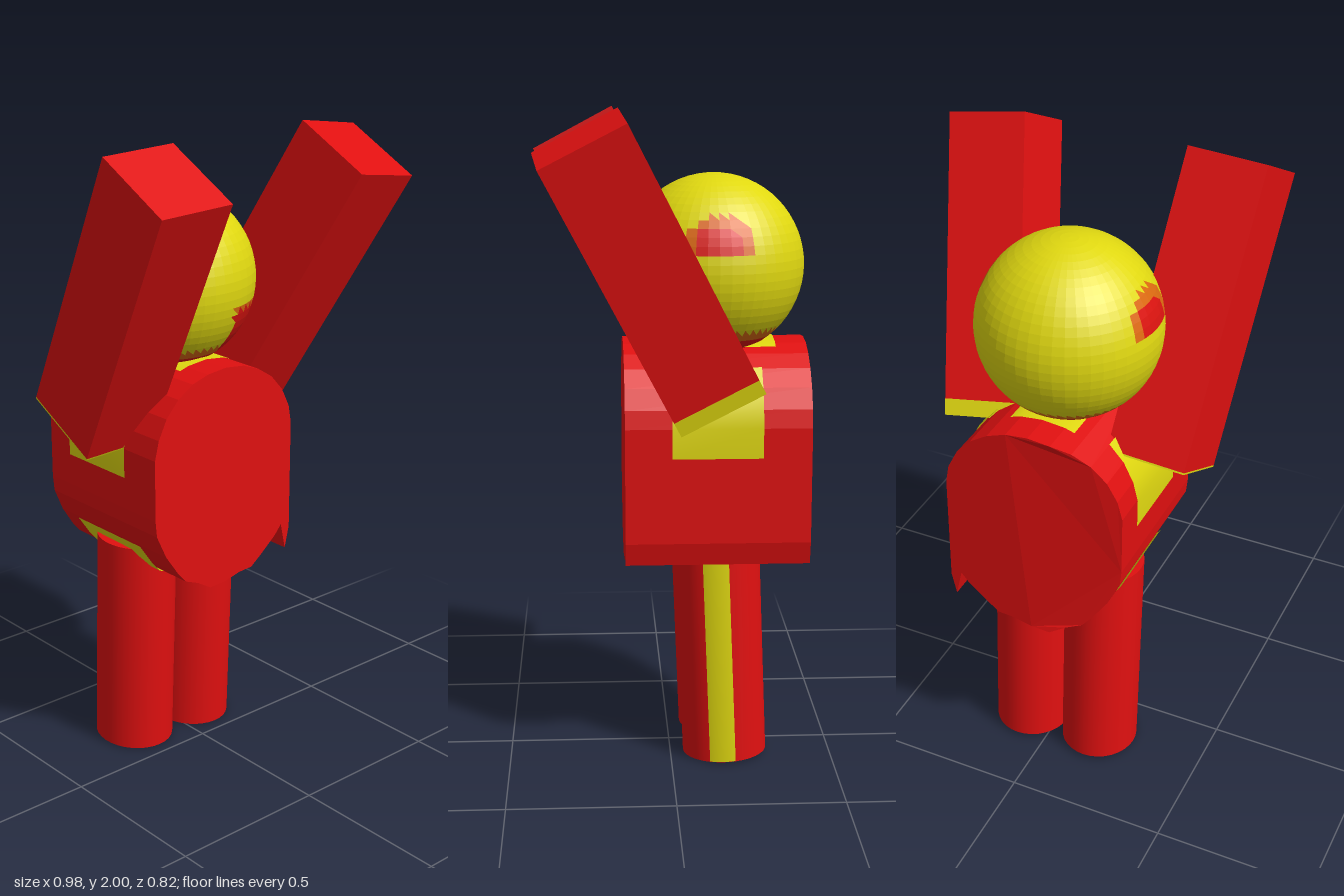
import * as THREE from 'three';

const mat = (name, color, extra = {}) => {
  const m = new THREE.MeshStandardMaterial({ color, ...extra });
  m.name = name;
  return m;
};

export function createModel() {
  const red = mat('red', 0xe01010);
  const yellow = mat('yellow', 0xe0d810, { side: THREE.DoubleSide });
  const headYellow = mat('head yellow', 0xe0d810, { flatShading: true });
  const headRed = mat('head red', 0xdc1410, { flatShading: true });
  const headOrange = mat('head orange', 0xdc6a10, { flatShading: true });

  const model = new THREE.Group();
  const add = (name, geometry, material, parent = model) => {
    const mesh = new THREE.Mesh(geometry, material);
    mesh.name = name;
    parent.add(mesh);
    return mesh;
  };

  // Torso: uneven rounded outline with a small fin at the lower left, extruded in depth
  const outline = [
    [-0.03, 1.3], [0.04, 1.292], [0.1, 1.27], [0.155, 1.235], [0.2, 1.185], [0.23, 1.125], [0.24, 1.07],
    [0.24, 0.72], [0.224, 0.65], [0.205, 0.735], [0.18, 0.705], [0.12, 0.655], [0.08, 0.625], [0.03, 0.622],
    [-0.03, 0.608], [-0.09, 0.605], [-0.14, 0.635], [-0.19, 0.655], [-0.22, 0.69], [-0.265, 0.755], [-0.3, 0.83],
    [-0.305, 0.88], [-0.305, 1.07], [-0.29, 1.13], [-0.26, 1.19], [-0.215, 1.24], [-0.16, 1.275], [-0.1, 1.293],
  ];
  const torso = new THREE.ExtrudeGeometry(
    new THREE.Shape(outline.map(([x, y]) => new THREE.Vector2(x, y))),
    { depth: 0.555, bevelEnabled: false });
  torso.translate(0, 0, -0.415);
  const tp = torso.attributes.position;
  for (let i = 0; i < tp.count; i++) {
    // The back slopes forward towards the right side
    if (tp.getZ(i) < 0) tp.setZ(i, -0.415 + 0.045 * THREE.MathUtils.clamp((-0.1 - tp.getX(i)) / 0.2, 0, 1));
  }
  torso.computeVertexNormals();
  add('torso', torso, red);

  // Yellow patches lying just off the torso surface, following its outline
  const patch = (name, points, z0, z1) => {
    const g = new THREE.PlaneGeometry(1, 1, points.length - 1, 1);
    const p = g.attributes.position;
    points.forEach(([x, y], i) => {
      const X = -0.03 + (x + 0.03) * 1.014, Y = 0.95 + (y - 0.95) * 1.014;
      p.setXYZ(i, X, Y, z0);
      p.setXYZ(i + points.length, X, Y, z1);
    });
    g.computeVertexNormals();
    add(name, g, yellow);
  };
  patch('leftShoulderPatch', [[0.24, 0.98], ...outline.slice(3, 7).reverse()], -0.27, 0);
  patch('rightShoulderPatch', [[-0.305, 0.98], ...outline.slice(22, 26)], -0.27, 0);
  patch('neckPatch', [[-0.13, 1.284], [-0.1, 1.293], [-0.03, 1.3], [0.04, 1.292], [0.07, 1.281]], -0.32, 0.05);
  patch('rightHipPatch', outline.slice(14, 20), -0.29, 0.02);
  patch('leftHipPatch', outline.slice(10, 15), -0.27, 0);

  // Head: faceted ball whose faces are sorted into yellow, red and orange
  const headColor = (x, y, z) => {
    const ear = Math.hypot(z, y - 0.055);
    if (Math.abs(x) > 0.15 && y > 0.05) {
      if (ear < 0.08) return 1;
      if (ear < 0.112) return 2;
    }
    if (z > 0 && x > 0.055 && x < 0.23) {
      if (y < -0.07) return 1;
      if (y < -0.055) return 2;
    }
    return y < -0.21 ? 1 : y < -0.185 ? 2 : 0;
  };
  const head = new THREE.SphereGeometry(0.275, 48, 32);
  const hp = head.attributes.position;
  const faces = [[], [], []];
  for (let i = 0; i < head.index.count; i += 3) {
    const ids = [0, 1, 2].map(k => head.index.getX(i + k));
    const mid = ['getX', 'getY', 'getZ'].map(f => ids.reduce((s, id) => s + hp[f](id), 0) / 3);
    faces[headColor(...mid)].push(...ids);
  }
  head.setIndex(faces.flat());
  let start = 0;
  faces.forEach((f, i) => {
    head.addGroup(start, f.length, i);
    start += f.length;
  });
  add('head', head, [headYellow, headRed, headOrange]).position.set(-0.031, 1.525, -0.137);

  // Arms: boxes spanned by width, length and depth vectors from a lower back corner
  const arm = (name, corner, w, l, d, band) => {
    const [C, W, L, D] = [corner, w, l, d].map(v => new THREE.Vector3(...v));
    const group = new THREE.Group();
    group.name = name;
    model.add(group);
    const basis = new THREE.Matrix4().makeBasis(W, L, D).setPosition(C);
    const part = (partName, from, to, material) => {
      const g = new THREE.BoxGeometry(1, to - from, 1);
      g.translate(0.5, (from + to) / 2, 0.5);
      add(partName, g.applyMatrix4(basis), material, group);
    };
    part('sleeve', band, 1, red);
    part('cuff', 0, band, yellow);
  };
  arm('leftArm', [0.085, 1.225, -0.245], [0.235, -0.035, -0.022], [0.165, 0.775, 0.4], [0, -0.125, 0.245], 0.055);
  arm('rightArm', [-0.44, 1.195, -0.255], [0.24, 0.01, 0.005], [-0.05, 0.785, 0.415], [0, -0.13, 0.245], 0.006);

  // Legs: slightly leaning cylinders, the left one with an outer stripe
  for (const [name, x] of [['leftLeg', 0.09], ['rightLeg', -0.15]]) {
    const leg = new THREE.Group();
    leg.name = name;
    leg.position.set(x, 0.36, -0.157);
    leg.rotation.x = 0.04;
    leg.scale.z = 1.08;
    model.add(leg);
    add('legCylinder', new THREE.CylinderGeometry(0.121, 0.121, 0.71, 32), red, leg);
    if (x > 0) {
      add('legStripe', new THREE.CylinderGeometry(0.124, 0.124, 0.705, 8, 1, true, Math.PI / 2 - 0.4, 0.6), yellow, leg);
    }
  }
  return model;
}
